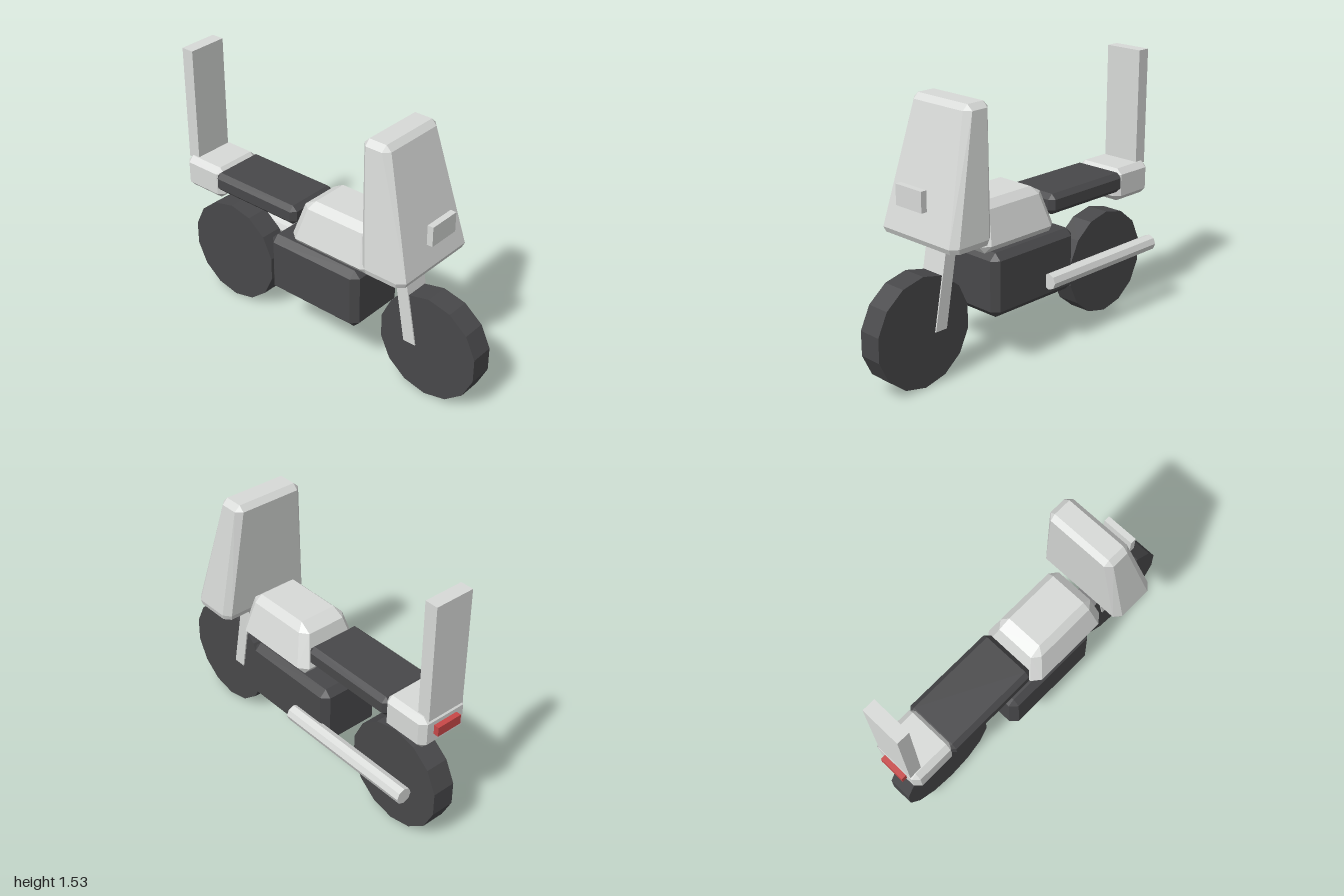
import * as THREE from 'three';
import { ConvexGeometry } from 'three/addons/geometries/ConvexGeometry.js';

function flat(name, color) {
  const m = new THREE.MeshStandardMaterial({ color });
  m.name = name;
  m.flatShading = true;
  return m;
}

// Convex body from horizontal sections [y, x0, x1, halfZ, corner cut in x, corner cut in z]
function loft(sections) {
  const points = [];
  for (const [y, x0, x1, hz, cx, cz] of sections) {
    for (const s of [-1, 1]) {
      points.push(
        new THREE.Vector3(x0 + cx, y, s * hz), new THREE.Vector3(x1 - cx, y, s * hz),
        new THREE.Vector3(x0, y, s * (hz - cz)), new THREE.Vector3(x1, y, s * (hz - cz)));
    }
  }
  return new ConvexGeometry(points);
}

// Box with every edge cut at 45 degrees
function chamferBox(x0, x1, y0, y1, hz, c) {
  return loft([
    [y0, x0 + c, x1 - c, hz - c, 0, 0],
    [y0 + c, x0, x1, hz, c, c],
    [y1 - c, x0, x1, hz, c, c],
    [y1, x0 + c, x1 - c, hz - c, 0, 0],
  ]);
}

function plainBox(x0, x1, y0, y1, hz) {
  return new THREE.BoxGeometry(x1 - x0, y1 - y0, hz * 2)
    .translate((x0 + x1) / 2, (y0 + y1) / 2, 0);
}

export function createModel() {
  const light = flat('light grey', 0xd8dad8);
  const dark = flat('dark grey', 0x48484a);
  const red = flat('red', 0xc84848);

  const group = new THREE.Group();
  group.name = 'motorcycle';
  const add = (name, geometry, material) => {
    const mesh = new THREE.Mesh(geometry, material);
    mesh.name = name;
    group.add(mesh);
  };

  // Wheels
  for (const [name, x] of [['rearWheel', -0.7], ['frontWheel', 0.7]]) {
    add(name, new THREE.CylinderGeometry(0.307, 0.307, 0.135, 14)
      .rotateX(Math.PI / 2).translate(x, 0.307, 0), dark);
  }

  // Engine and seat
  add('engine', chamferBox(-0.3, 0.318, 0.29, 0.65, 0.19, 0.038), dark);
  add('seat', chamferBox(-0.725, -0.13, 0.75, 0.865, 0.168, 0.028), dark);

  // Tail with backrest and lamp
  add('tail', chamferBox(-0.97, -0.69, 0.69, 0.88, 0.153, 0.032), light);
  add('backrest', plainBox(-0.97, -0.895, 0.865, 1.53, 0.115), light);
  add('tailLight', plainBox(-1, -0.96, 0.77, 0.825, 0.077), red);

  // Tapered fuel tank
  add('fuelTank', loft([
    [0.675, -0.11, 0.37, 0.165, 0, 0],
    [0.715, -0.14, 0.402, 0.2, 0.05, 0.04],
    [0.895, -0.09, 0.365, 0.15, 0.045, 0.035],
    [0.935, -0.02, 0.315, 0.11, 0, 0],
  ]), light);

  // Front fairing, wider at the bottom
  add('fairing', loft([
    [0.77, 0.418, 0.675, 0.272, 0.035, 0.03],
    [0.8, 0.408, 0.688, 0.28, 0.04, 0.033],
    [1.45, 0.355, 0.52, 0.212, 0.032, 0.033],
    [1.48, 0.385, 0.49, 0.18, 0, 0],
  ]), light);
  add('headlight', plainBox(0.69, 0.725, 0.96, 1.072, 0.095), light);

  // Slanted fork
  add('fork', loft([
    [0.29, 0.555, 0.63, 0.075, 0, 0],
    [0.85, 0.457, 0.527, 0.075, 0, 0],
  ]), light);

  // Exhaust on the right side
  add('exhaust', new THREE.CylinderGeometry(0.046, 0.046, 0.86, 8)
    .rotateZ(Math.PI / 2).translate(-0.495, 0.405, -0.21), light);

  return group;
}
